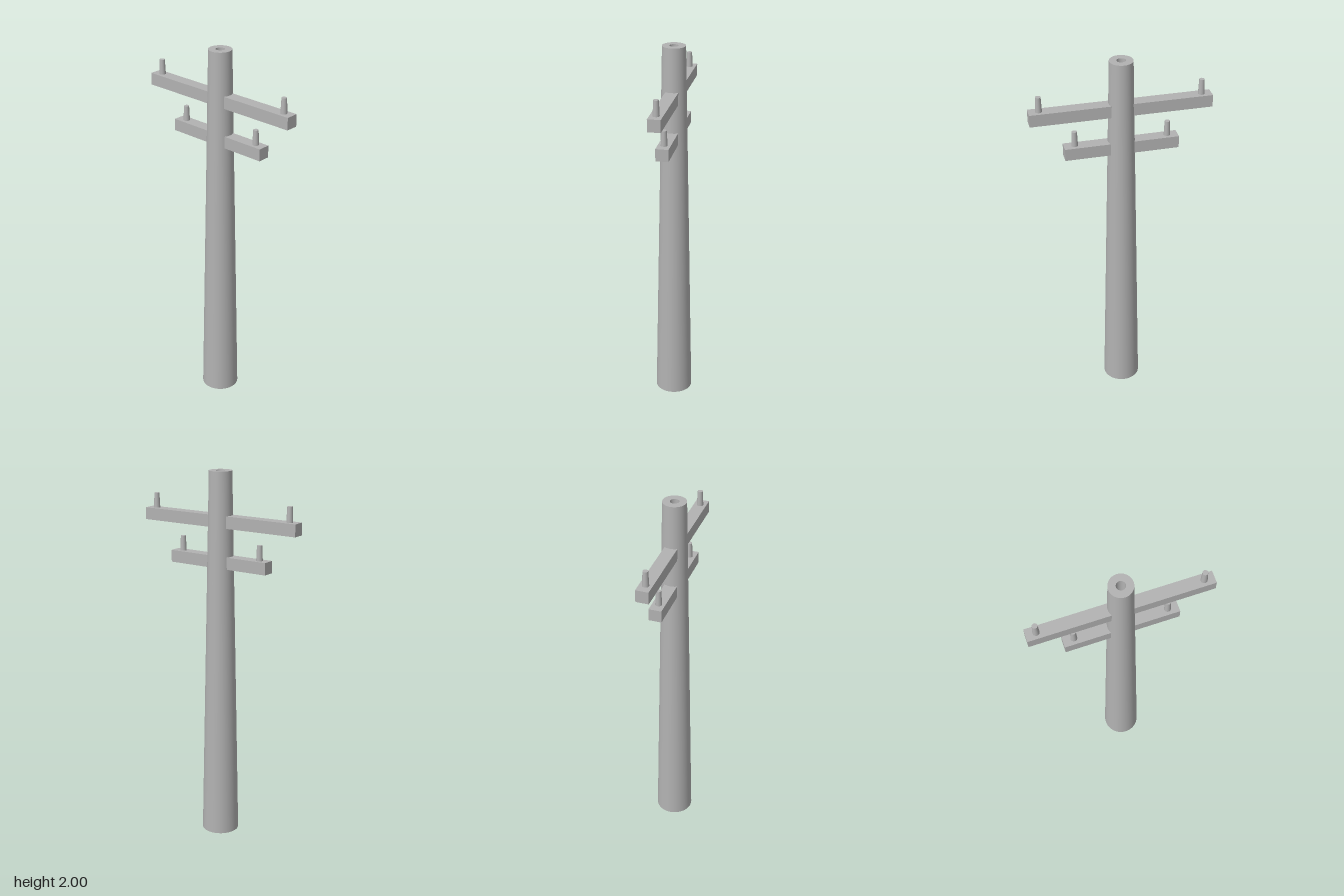
import * as THREE from 'three';
import { mergeGeometries } from 'three/addons/utils/BufferGeometryUtils.js';

export function createModel() {
  const model = new THREE.Group();
  model.name = 'utilityPole';
  const concrete = new THREE.MeshStandardMaterial({ color: 0xb2b2b2 });
  concrete.name = 'concreteGrey';

  function add(name, geometry, x = 0, y = 0, z = 0) {
    const mesh = new THREE.Mesh(geometry, concrete);
    mesh.name = name;
    mesh.position.set(x, y, z);
    model.add(mesh);
  }

  // Tapered hollow pole: one lathe per profile edge keeps the rims sharp
  const bore = 0.023;
  const profile = [[bore, 0], [0.1, 0], [0.06, 2], [bore, 2], [bore, 0]]
    .map(([r, y]) => new THREE.Vector2(r, y));
  const walls = [];
  for (let i = 0; i < profile.length - 1; i++) {
    walls.push(new THREE.LatheGeometry([profile[i], profile[i + 1]], 64));
  }
  add('pole', mergeGeometries(walls));

  // Crossarms on both sides, each carrying a tapered insulator pin
  const inner = 0.045; // embedded in the pole wall, clear of the bore
  const tiers = [
    { name: 'upper', bottom: 1.71, top: 1.774, reach: 0.465, pin: 0.413, pinTop: 1.853 },
    { name: 'lower', bottom: 1.497, top: 1.561, reach: 0.295, pin: 0.24, pinTop: 1.64 },
  ];
  for (const t of tiers) {
    for (const [label, side] of [['Left', 1], ['Right', -1]]) {
      const arm = new THREE.BoxGeometry(t.reach - inner, t.top - t.bottom, 0.066);
      add(t.name + label + 'Arm', arm, side * (t.reach + inner) / 2, (t.top + t.bottom) / 2);

      const pin = new THREE.CylinderGeometry(0.0135, 0.017, t.pinTop - t.top, 32);
      add(t.name + label + 'Pin', pin, side * t.pin, (t.pinTop + t.top) / 2);
    }
  }
  return model;
}
